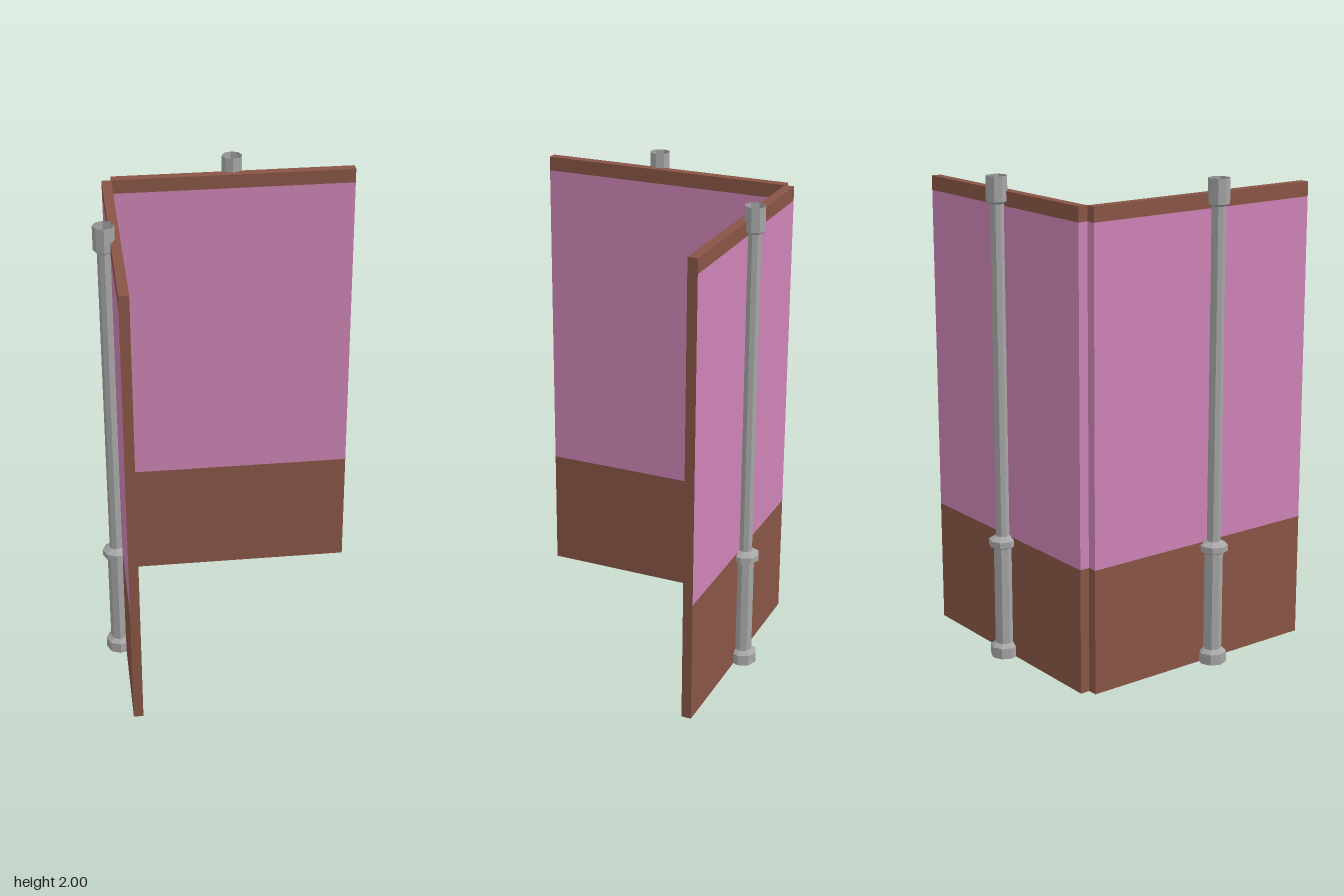
import * as THREE from 'three';

const brown = new THREE.MeshStandardMaterial({ color: 0x885546 });
brown.name = 'brown';
const pink = new THREE.MeshStandardMaterial({ color: 0xcd84b5 });
pink.name = 'pink';
const grey = new THREE.MeshStandardMaterial({ color: 0xa6a6a6, side: THREE.DoubleSide });
grey.name = 'pipe grey';

// Wall in three bands; the face at index `edge` (+x -x +y -y +z -z) is a free end, always brown
function makeWall(name, x0, x1, z0, z1, edge) {
  const wall = new THREE.Group();
  wall.name = name;
  const bands = [
    ['wainscot', 0, 0.52, brown],
    ['panel', 0.52, 1.88, pink],
    ['topTrim', 1.88, 1.94, brown],
  ];
  for (const [part, y0, y1, colour] of bands) {
    const faces = Array(6).fill(colour);
    faces[edge] = brown;
    const mesh = new THREE.Mesh(new THREE.BoxGeometry(x1 - x0, y1 - y0, z1 - z0), faces);
    mesh.position.set((x0 + x1) / 2, (y0 + y1) / 2, (z0 + z1) / 2);
    mesh.name = part;
    wall.add(mesh);
  }
  return wall;
}

// Open eight-sided pipe: foot, wide lower tube, collar, slim shaft, socket
function makePipe(name, x, z) {
  const profile = [
    [0.058, 0], [0.058, 0.045], [0.038, 0.06],
    [0.038, 0.475], [0.058, 0.485], [0.058, 0.51], [0.028, 0.526],
    [0.028, 1.89], [0.043, 1.9], [0.043, 2],
  ].map(([r, y]) => new THREE.Vector2(r, y));
  const geometry = new THREE.LatheGeometry(profile, 8).toNonIndexed();
  geometry.computeVertexNormals();
  const pipe = new THREE.Mesh(geometry, grey);
  pipe.position.set(x, 0, z);
  pipe.name = name;
  return pipe;
}

export function createModel() {
  const model = new THREE.Group();
  model.name = 'cornerWall';
  model.add(
    makeWall('backWall', -0.45, 0.572, -0.516, -0.475, 0),
    makeWall('sideWall', -0.49, -0.45, -0.475, 0.597, 4),
    makePipe('backPipe', 0.057, -0.539),
    makePipe('sidePipe', -0.514, 0.107),
  );
  return model;
}
